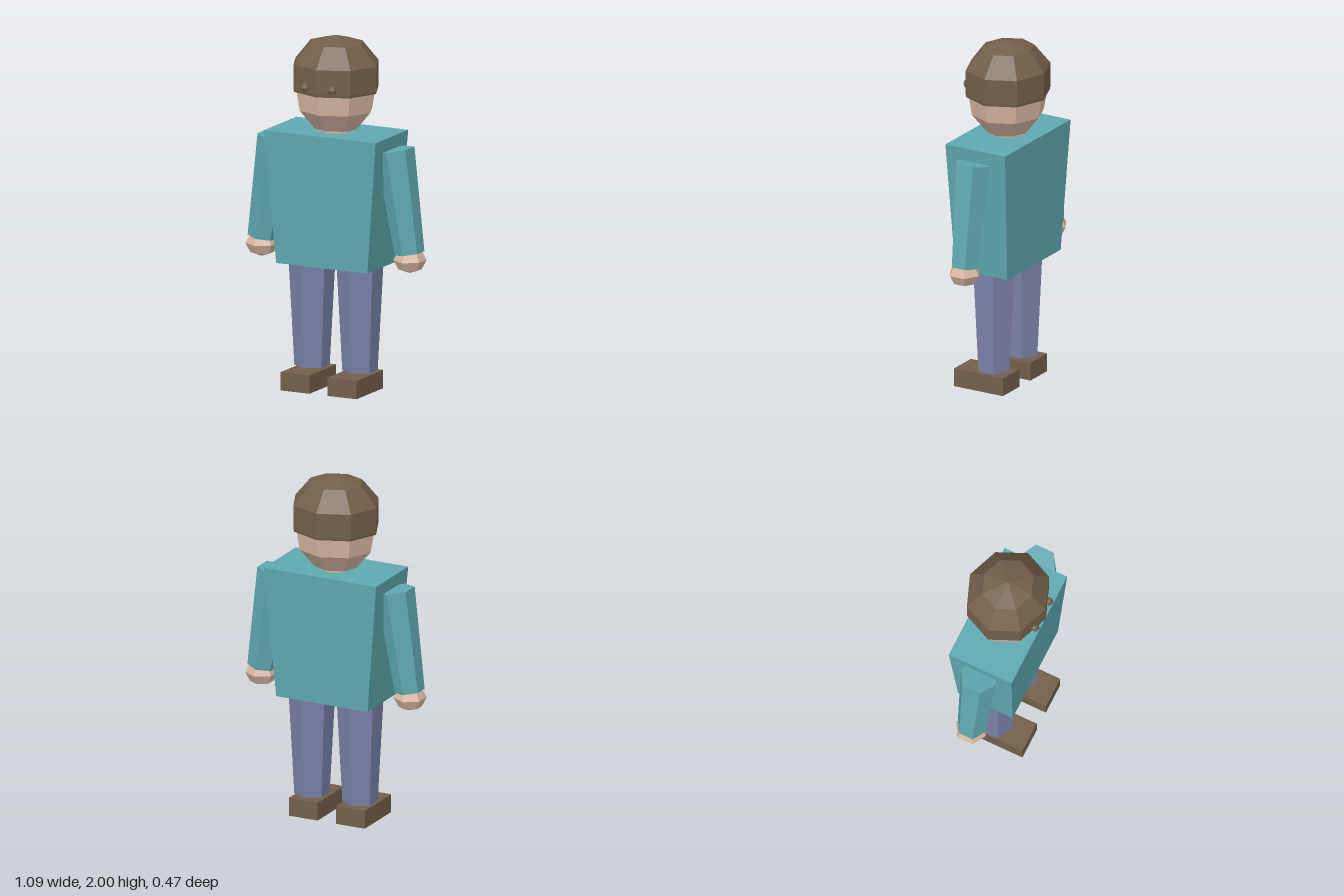
import * as THREE from 'three';

const material = (name, color) => {
  const m = new THREE.MeshStandardMaterial({ color });
  m.name = name;
  return m;
};

export function createModel() {
  const model = new THREE.Group();
  model.name = 'figure';
  const shirt = material('teal shirt', 0x5fa8b0);
  const skin = material('skin', 0xd9b8a4);
  const denim = material('blue trousers', 0x7a82a8);
  const brown = material('brown', 0x735f4a);

  // Adds a faceted mesh
  function add(name, geometry, mat, x = 0, y = 0, z = 0) {
    const flat = geometry.index ? geometry.toNonIndexed() : geometry;
    flat.computeVertexNormals();
    const mesh = new THREE.Mesh(flat, mat);
    mesh.name = name;
    mesh.position.set(x, y, z);
    model.add(mesh);
    return mesh;
  }

  // Eight-sided turned shape, a little narrower front to back
  const turned = (points) =>
    new THREE.LatheGeometry(points.map(([r, y]) => new THREE.Vector2(r, y)), 8).scale(1, 1, 0.925);
  // Six-sided ball with corners on the z axis
  const ball = (r, ry) => new THREE.SphereGeometry(r, 6, 4).rotateY(Math.PI / 2).scale(1, ry / r, 1);

  // Torso: box tapering to the waist
  const torso = new THREE.BoxGeometry(0.7, 0.75, 0.386);
  const p = torso.attributes.position;
  for (let i = 0; i < p.count; i++) {
    if (p.getY(i) < 0) {
      p.setX(i, p.getX(i) * 0.814);
      p.setZ(i, p.getZ(i) * 0.87);
    }
  }
  add('torso', torso, shirt, 0, 1.085, 0);

  // Neck, head and cap of hair
  add('neck', new THREE.CylinderGeometry(0.1, 0.1, 0.1, 6), skin, 0, 1.48, 0);
  add('head', turned([[0, 1.47], [0.125, 1.475], [0.215, 1.58], [0.236, 1.7], [0, 1.75]]), skin);
  add('hair', turned([[0, 1.69], [0.25, 1.69], [0.253, 1.705], [0.253, 1.845], [0.157, 1.96], [0, 2]]), brown);

  for (const side of [1, -1]) {
    const label = side > 0 ? 'left' : 'right';
    add(label + 'Eye', ball(0.027, 0.027), brown, side * 0.085, 1.733, 0.208);

    // Arm leaning outward, with hand
    const arm = add(label + 'Arm', new THREE.CylinderGeometry(0.108, 0.083, 0.587, 6), shirt, side * 0.415, 1.1, 0);
    arm.rotation.z = side * 0.154;
    add(label + 'Hand', ball(0.092, 0.073), skin, side * 0.463, 0.772, 0);

    // Leg and shoe
    add(label + 'Leg', new THREE.CylinderGeometry(0.13, 0.098, 0.605, 6), denim, side * 0.15, 0.4175, 0);
    add(label + 'Shoe', new THREE.BoxGeometry(0.18, 0.104, 0.315), brown, side * 0.147, 0.052, 0.0475);
  }
  return model;
}
